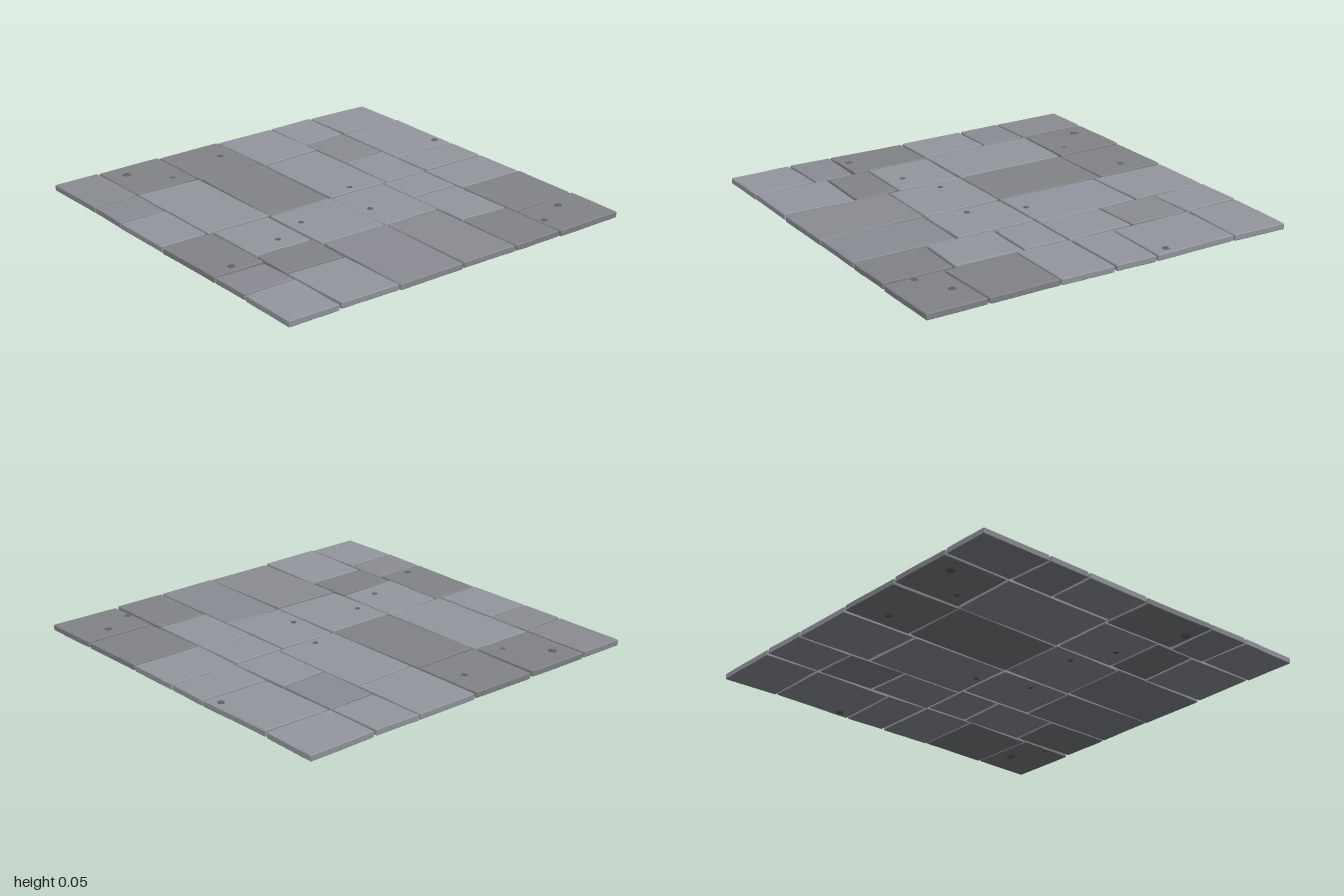
import * as THREE from 'three';

const stone = (color) => new THREE.MeshStandardMaterial({ color, flatShading: true });

// Slate shades: light, middle, dark
const shades = { l: stone(0x94979f), m: stone(0x8b8d94), d: stone(0x828488) };
const pebbleStone = stone(0x5e6064);

// Small seeded generator for wear and unevenness, returns -1..1
let seed = 7;
const wobble = () => {
  seed = (seed * 16807) % 2147483647;
  return (seed / 2147483647) * 2 - 1;
};

// Rows of slabs: x range, z range, seams as [x at back, x at front], shades
const L = [-0.996, -0.006], R = [0.005, 0.995];
const rows = [
  [L, [-0.996, -0.629], [[-0.688, -0.693], [-0.235, -0.245]], 'lll'],
  [L, [-0.618, -0.362], [[-0.693, -0.685], [-0.36, -0.35]], 'lml'],
  [L, [-0.354, -0.006], [[-0.58, -0.568]], 'll'],
  [R, [-0.996, -0.617], [[0.3, 0.295], [0.677, 0.685]], 'ldd'],
  [R, [-0.606, -0.331], [[0.246, 0.24], [0.623, 0.613]], 'lld'],
  [R, [-0.323, -0.006], [[0.437, 0.432]], 'lm'],
  [L, [0.003, 0.369], [[-0.613, -0.608]], 'dd'],
  [L, [0.377, 0.733], [[-0.62, -0.628]], 'dl'],
  [L, [0.742, 0.994], [[-0.617, -0.608], [-0.368, -0.368]], 'mml'],
  [R, [0.003, 0.374], [[0.427, 0.421]], 'lm'],
  [R, [0.384, 0.707], [[0.357, 0.357], [0.601, 0.593]], 'ldl'],
  [R, [0.718, 0.994], [[0.435, 0.432], [0.661, 0.669]], 'dml'],
];

// Pebbles: x, z, radius
const pebbles = [
  [-0.315, -0.95, 0.027], [0.763, -0.824, 0.031], [0.853, -0.643, 0.023],
  [-0.053, -0.163, 0.023], [0.229, -0.067, 0.022], [-0.816, 0.104, 0.026],
  [-0.709, 0.472, 0.022], [-0.885, 0.637, 0.032], [0.16, 0.304, 0.022],
  [0.261, 0.515, 0.023], [0.384, 0.867, 0.031],
];

// Bevelled slab with worn edges; corners run anticlockwise seen from above
function slabGeometry(corners) {
  const steps = 4, outline = [];
  const cx = corners.reduce((s, c) => s + c[0], 0) / 4;
  const cz = corners.reduce((s, c) => s + c[1], 0) / 4;
  corners.forEach(([x, z], i) => {
    const [nx, nz] = corners[(i + 1) % 4];
    for (let k = 0; k < steps; k++) {
      const t = k / steps;
      outline.push([x + (nx - x) * t, z + (nz - z) * t]);
    }
  });
  const n = outline.length;
  const wear = outline.map(() => 0.0015 * (1 + wobble()));
  const tiltX = 0.012 * wobble(), tiltZ = 0.015 * wobble();

  // Cross-sections from bottom to top: height and inset
  const sections = [[0.012, 0.003], [0.015, 0], [0.04, 0], [0.0445, 0.004]];
  const positions = [], index = [];
  sections.forEach(([y, inset]) => outline.forEach(([x, z], i) => {
    const d = inset + wear[i];
    positions.push(
      x - Math.sign(x - cx) * Math.min(d, Math.abs(x - cx)),
      y + tiltX * (x - cx) + tiltZ * (z - cz),
      z - Math.sign(z - cz) * Math.min(d, Math.abs(z - cz)));
  }));
  positions.push(cx, 0.012, cz, cx, 0.0445, cz);
  const bottom = n * sections.length, top = bottom + 1, last = n * (sections.length - 1);
  for (let i = 0; i < n; i++) {
    const k = (i + 1) % n;
    for (let j = 0; j < last; j += n) {
      index.push(j + i, j + k, j + n + k, j + i, j + n + k, j + n + i);
    }
    index.push(bottom, k, i, top, last + i, last + k);
  }
  const indexed = new THREE.BufferGeometry();
  indexed.setAttribute('position', new THREE.Float32BufferAttribute(positions, 3));
  indexed.setIndex(index);
  const geometry = indexed.toNonIndexed();
  geometry.computeVertexNormals();
  return geometry;
}

export function createModel() {
  seed = 7;
  const group = new THREE.Group();
  group.name = 'stonePaving';

  // Slabs, each row cut at its seams
  const gap = 0.005;
  rows.forEach(([[x0, x1], [z0, z1], seams, tones]) => {
    const cuts = [[x0 - gap, x0 - gap], ...seams, [x1 + gap, x1 + gap]];
    for (let i = 0; i < cuts.length - 1; i++) {
      const a = cuts[i], b = cuts[i + 1];
      const dz = () => 0.002 * wobble();
      const slab = new THREE.Mesh(slabGeometry([
        [b[1] - gap, z1 + dz()], [b[0] - gap, z0 + dz()],
        [a[0] + gap, z0 + dz()], [a[1] + gap, z1 + dz()],
      ]), shades[tones[i]]);
      slab.name = 'slab';
      group.add(slab);
    }
  });

  // Pebbles set through the slabs, showing on both faces
  pebbles.forEach(([x, z, r], i) => {
    const large = r > 0.025;
    const pebble = new THREE.Mesh(new THREE.SphereGeometry(1, 7, 5), pebbleStone);
    pebble.name = 'pebble';
    pebble.scale.set(r, large ? 0.0265 : 0.0225, r);
    pebble.position.set(x, large ? 0.0265 : 0.0285, z);
    pebble.rotation.y = i * 1.3;
    group.add(pebble);
  });

  return group;
}
